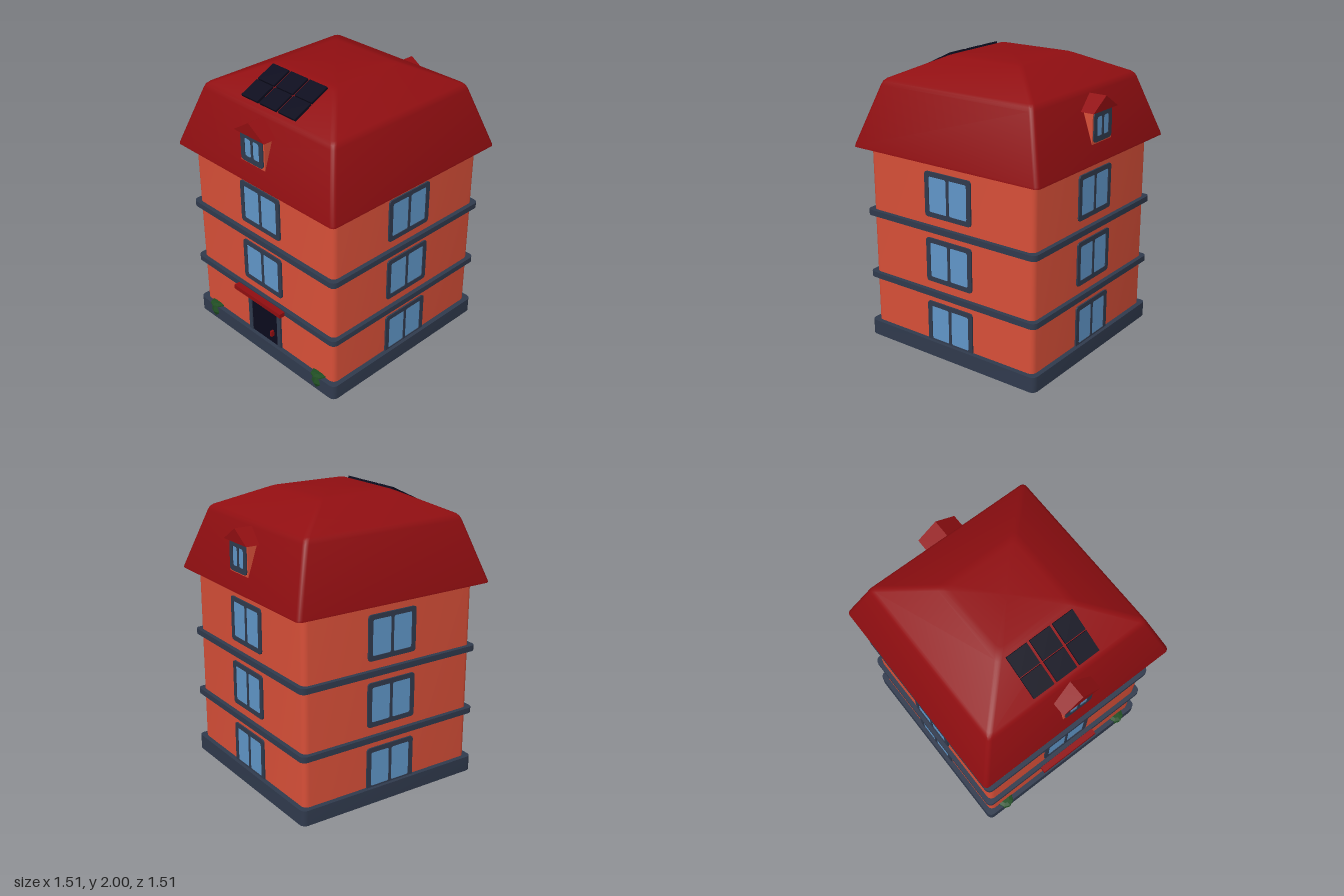
import * as THREE from 'three';
import { toCreasedNormals } from 'three/addons/utils/BufferGeometryUtils.js';

const mat = (name, color) => Object.assign(new THREE.MeshStandardMaterial({ color }), { name });
const M = {
  wall: mat('brick orange', 0xd74f38),
  roof: mat('roof red', 0x900e11),
  trim: mat('slate trim', 0x303a4d),
  glass: mat('window blue', 0x6096c8),
  dark: mat('midnight panel', 0x0b0b1d),
  leaf: mat('leaf green', 0x1f4d22),
};

function add(parent, name, geometry, material, x = 0, y = 0, z = 0) {
  const mesh = new THREE.Mesh(geometry, material);
  mesh.name = name;
  mesh.position.set(x, y, z);
  parent.add(mesh);
  return mesh;
}

// Stack of square rings with rounded corners; profile rows are [half width, y].
function loft(profile, radius, steps = 4) {
  const pos = [], index = [], n = 4 * (steps + 1);
  for (const [half, y] of profile) {
    for (let c = 0; c < 4; c++) {
      const mid = Math.PI / 4 + c * Math.PI / 2;
      const cx = Math.sign(Math.cos(mid)) * (half - radius);
      const cz = Math.sign(Math.sin(mid)) * (half - radius);
      for (let s = 0; s <= steps; s++) {
        const a = (c + s / steps) * Math.PI / 2;
        pos.push(cx + radius * Math.cos(a), y, cz + radius * Math.sin(a));
      }
    }
  }
  const rows = profile.length, bottom = rows * n, top = bottom + 1;
  pos.push(0, profile[0][1], 0, 0, profile[rows - 1][1], 0);
  for (let i = 0; i < n; i++) {
    const j = (i + 1) % n;
    for (let r = 0; r < rows - 1; r++) {
      const a = r * n + i, b = r * n + j;
      index.push(a, a + n, b, b, a + n, b + n);
    }
    index.push(bottom, i, j, top, (rows - 1) * n + j, (rows - 1) * n + i);
  }
  const g = new THREE.BufferGeometry();
  g.setAttribute('position', new THREE.Float32BufferAttribute(pos, 3));
  g.setIndex(index);
  return toCreasedNormals(g, 0.55);
}

// Rounded rectangle outline centred on x, y.
function roundRect(target, x, y, w, h, r) {
  const l = x - w / 2, b = y - h / 2, R = x + w / 2, t = y + h / 2;
  target.moveTo(l + r, b).lineTo(R - r, b).quadraticCurveTo(R, b, R, b + r)
    .lineTo(R, t - r).quadraticCurveTo(R, t, R - r, t)
    .lineTo(l + r, t).quadraticCurveTo(l, t, l, t - r)
    .lineTo(l, b + r).quadraticCurveTo(l, b, l + r, b);
  return target;
}

// Two-pane window facing +z with its front at z = 0.
function makeWindow(w, h, border, mullion, r) {
  const group = new THREE.Group();
  group.name = 'window';
  const shape = roundRect(new THREE.Shape(), 0, 0, w, h, r);
  const pane = (w - 2 * border - mullion) / 2;
  for (const s of [-1, 1]) {
    shape.holes.push(roundRect(new THREE.Path(), s * (pane + mullion) / 2, 0, pane, h - 2 * border, r * 0.6));
  }
  const frame = new THREE.ExtrudeGeometry(shape, { depth: 0.02, bevelEnabled: false, curveSegments: 5 });
  add(group, 'windowFrame', frame, M.trim, 0, 0, -0.02);
  add(group, 'windowGlass', new THREE.BoxGeometry(w - border, h - border, 0.008), M.glass, 0, 0, -0.009);
  return group;
}

// Dormer on the steep roof face, facing +z.
function makeDormer() {
  const group = new THREE.Group();
  group.name = 'dormer';
  add(group, 'dormerWalls', new THREE.BoxGeometry(0.23, 0.22, 0.2), M.wall, 0, 1.62, 0.62);
  const gable = new THREE.Shape([[-0.145, 1.72], [0.145, 1.72], [0, 1.812]].map(p => new THREE.Vector2(...p)));
  add(group, 'dormerRoof', new THREE.ExtrudeGeometry(gable, { depth: 0.2, bevelEnabled: false }), M.roof, 0, 0, 0.545);
  const win = makeWindow(0.21, 0.2, 0.036, 0.018, 0.03);
  win.position.set(0, 1.62, 0.728);
  group.add(win);
  return group;
}

export function createModel() {
  const house = new THREE.Group();
  house.name = 'house';

  // Walls, plinth and floor bands
  add(house, 'walls', loft([[0.675, 0], [0.675, 1.42]], 0.04), M.wall);
  add(house, 'plinth', loft([[0.71, 0.002], [0.71, 0.11]], 0.04), M.trim);
  for (const y of [0.445, 0.905]) {
    add(house, 'floorBand', loft([[0.706, y], [0.706, y + 0.04]], 0.04), M.trim);
  }

  // Two-pitch roof with softened edges
  add(house, 'roof', loft([
    [0.745, 1.388], [0.755, 1.392], [0.754, 1.405], [0.62, 1.81], [0.61, 1.832],
    [0.592, 1.849], [0.31, 1.984], [0.285, 1.994], [0.25, 2],
  ], 0.03), M.roof);

  // Windows on every side; the front ground floor has the door
  for (let side = 0; side < 4; side++) {
    const wallSide = new THREE.Group();
    wallSide.name = 'wallWindows';
    wallSide.rotation.y = side * Math.PI / 2;
    for (const y of [0.24, 0.7, 1.16]) {
      if (side === 0 && y < 0.3) continue;
      const win = makeWindow(0.38, 0.31, 0.033, 0.02, 0.025);
      win.position.set(0, y, 0.686);
      wallSide.add(win);
    }
    if (side % 2 === 0) wallSide.add(makeDormer());
    house.add(wallSide);
  }

  // Door, handle and canopy
  const doorFrame = roundRect(new THREE.Shape(), 0, 0.23, 0.33, 0.4, 0.025);
  doorFrame.holes.push(roundRect(new THREE.Path(), 0, 0.23, 0.264, 0.334, 0.005));
  add(house, 'doorFrame', new THREE.ExtrudeGeometry(doorFrame, { depth: 0.03, bevelEnabled: false }), M.trim, 0, 0, 0.66);
  add(house, 'door', new THREE.BoxGeometry(0.27, 0.34, 0.02), M.dark, 0, 0.23, 0.673);
  add(house, 'doorHandle', new THREE.BoxGeometry(0.016, 0.044, 0.03), M.roof, 0.085, 0.2, 0.692);
  add(house, 'doorCanopy', new THREE.BoxGeometry(0.475, 0.032, 0.11), M.roof, 0, 0.46, 0.695);

  // Solar panels on the upper front slope
  const solar = new THREE.Group();
  solar.name = 'solarPanels';
  solar.position.set(0, 1.924, 0.446);
  solar.rotation.x = Math.atan2(0.135, 0.282);
  for (const x of [-0.174, 0, 0.174]) {
    for (const z of [-0.077, 0.077]) {
      add(solar, 'solarPanel', new THREE.BoxGeometry(0.154, 0.016, 0.146), M.dark, x, 0.004, z);
    }
  }
  house.add(solar);

  // Shrubs set into the front of the plinth
  const shrub = new THREE.LatheGeometry([
    [0, 0.004], [0.03, 0.006], [0.055, 0.06], [0.042, 0.108],
    [0.06, 0.114], [0.058, 0.122], [0.03, 0.128], [0, 0.128],
  ].map(p => new THREE.Vector2(...p)), 8).toNonIndexed();
  shrub.computeVertexNormals();
  for (const s of [-1, 1]) add(house, 'shrub', shrub, M.leaf, s * 0.54, 0, 0.675);

  return house;
}
